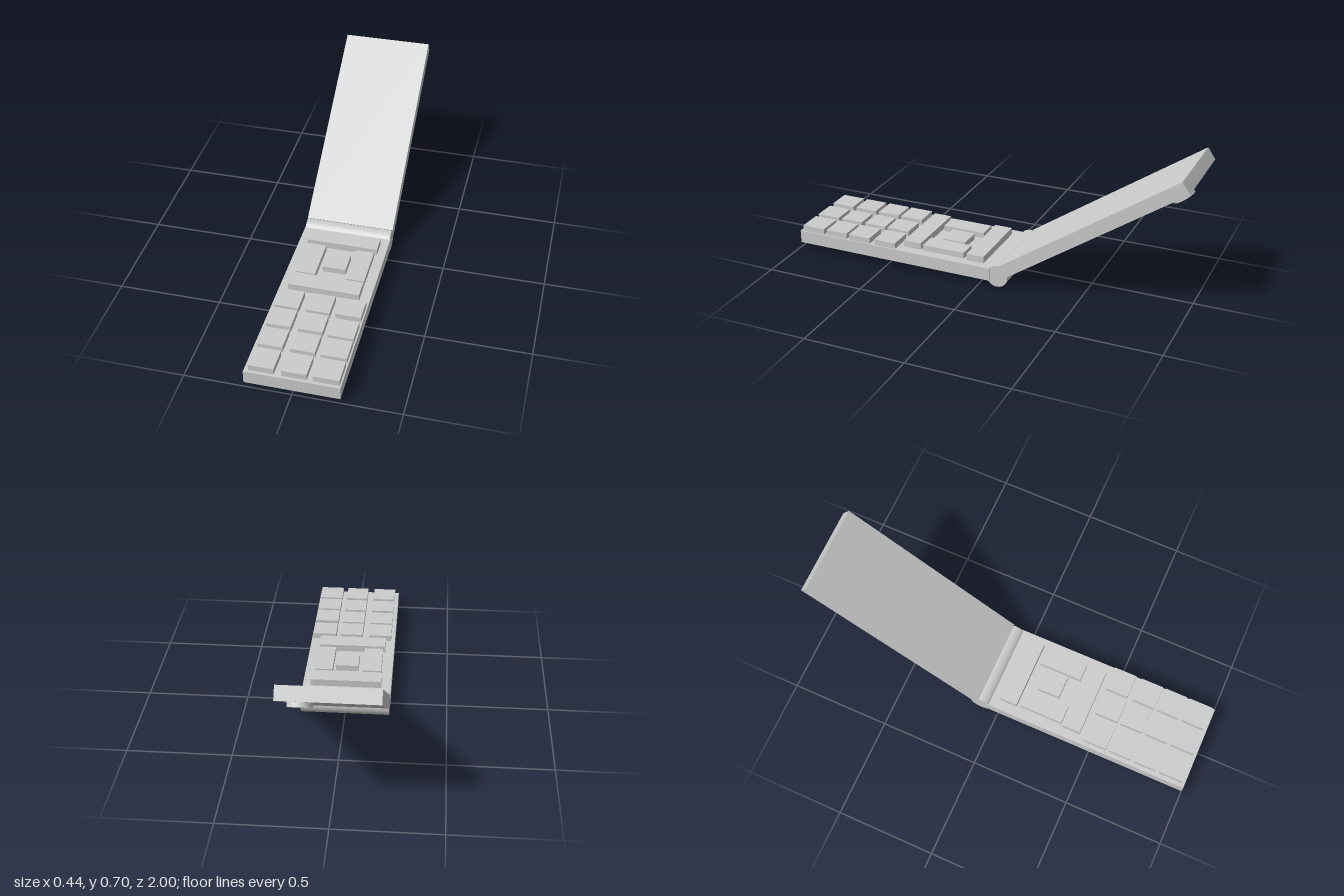
import * as THREE from 'three';

const material = new THREE.MeshStandardMaterial({ color: 0xcccccc });

function addMesh(parent, name, geometry, x, y, z) {
  const mesh = new THREE.Mesh(geometry, material);
  mesh.name = name;
  mesh.position.set(x, y, z);
  parent.add(mesh);
  return mesh;
}

// Box given by its limits along each axis
function addBox(parent, name, [x0, x1], [y0, y1], [z0, z1]) {
  const geometry = new THREE.BoxGeometry(x1 - x0, y1 - y0, z1 - z0);
  return addMesh(parent, name, geometry, (x0 + x1) / 2, (y0 + y1) / 2, (z0 + z1) / 2);
}

export function createModel() {
  const phone = new THREE.Group();
  phone.name = 'flipPhone';

  // Lower half and hinge barrel
  addBox(phone, 'base', [-0.22, 0.22], [0.025, 0.09], [-0.055, 1]);
  const barrel = new THREE.CylinderGeometry(0.055, 0.055, 0.434, 48).rotateZ(Math.PI / 2);
  addMesh(phone, 'hinge', barrel, -0.001, 0.055, -0.09);

  // Lid tilted back about the hinge, with a round lens on its outer face
  const lid = new THREE.Group();
  lid.name = 'lid';
  lid.position.set(0, 0.065, -0.09);
  lid.rotation.x = THREE.MathUtils.degToRad(34.3);
  addBox(lid, 'lidPanel', [-0.22, 0.22], [-0.0325, 0.0325], [-1.08, -0.035]);
  addMesh(lid, 'cameraLens', new THREE.CylinderGeometry(0.054, 0.054, 0.03, 48), 0.12, -0.04, -1.006);
  phone.add(lid);

  // Number keys: three columns of four, the right column slightly offset
  const columns = [[-0.2, -0.083], [-0.048, 0.066], [0.092, 0.213]];
  const rows = [[0.46, 0.58], [0.595, 0.71], [0.73, 0.845], [0.865, 0.985]];
  const rightRows = [[0.46, 0.575], [0.603, 0.72], [0.735, 0.848], [0.865, 0.985]];
  const keypad = new THREE.Group();
  keypad.name = 'keypad';
  columns.forEach((column, c) => {
    for (const row of c === 2 ? rightRows : rows) {
      addBox(keypad, 'numberKey', column, [0.085, 0.12], row);
    }
  });
  phone.add(keypad);

  // Navigation cluster: two bars around a pair of side keys and a centre key
  const navigation = new THREE.Group();
  navigation.name = 'navigationKeys';
  addBox(navigation, 'upperBar', [-0.172, 0.18], [0.085, 0.125], [-0.005, 0.085]);
  addBox(navigation, 'lowerBar', [-0.175, 0.17], [0.085, 0.125], [0.338, 0.43]);
  addBox(navigation, 'rightSideKey', [-0.165, -0.07], [0.085, 0.12], [0.105, 0.325]);
  addBox(navigation, 'leftSideKey', [0.08, 0.17], [0.085, 0.12], [0.105, 0.325]);
  addBox(navigation, 'centreKey', [-0.048, 0.065], [0.085, 0.12], [0.145, 0.263]);
  phone.add(navigation);

  return phone;
}
